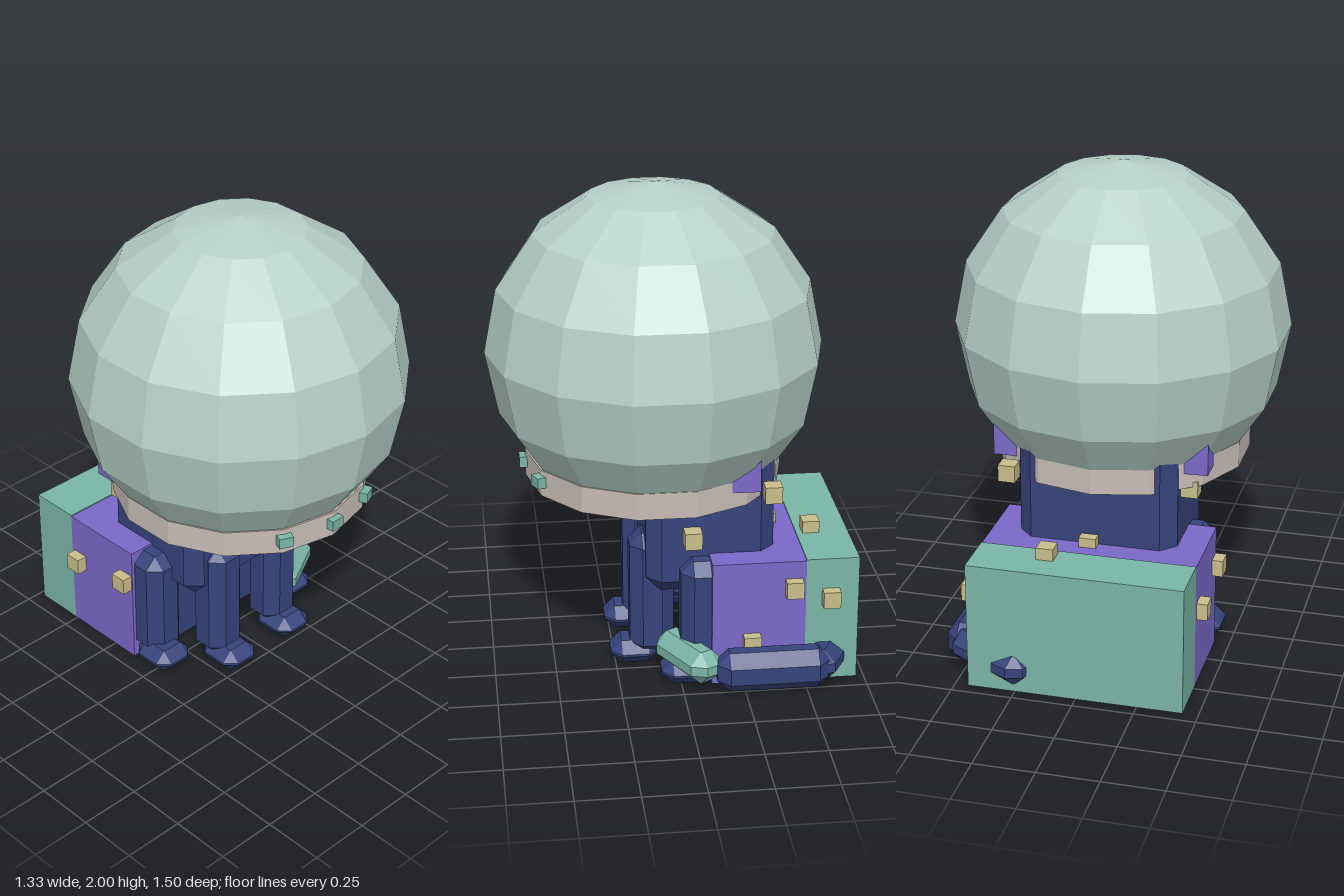
import * as THREE from 'three';
import { ConvexGeometry } from 'three/addons/geometries/ConvexGeometry.js';

const mat = (name, color) => {
  const m = new THREE.MeshStandardMaterial({ color, flatShading: true });
  m.name = name;
  return m;
};

// Box with every edge and corner cut off
function chamferBox(w, h, d, c) {
  const points = [];
  for (const x of [-1, 1]) for (const y of [-1, 1]) for (const z of [-1, 1]) {
    const X = x * w / 2, Y = y * h / 2, Z = z * d / 2;
    points.push(
      new THREE.Vector3(X, Y - y * c, Z - z * c),
      new THREE.Vector3(X - x * c, Y, Z - z * c),
      new THREE.Vector3(X - x * c, Y - y * c, Z));
  }
  return new ConvexGeometry(points);
}

export function createModel() {
  const model = new THREE.Group();
  const pale = mat('paleGreen', 0xb6d0c8);
  const navy = mat('navy', 0x36447c);
  const purple = mat('purple', 0x7b68c8);
  const teal = mat('teal', 0x7ab5a5);
  const stone = mat('warmGrey', 0xc6bcb6);
  const gold = mat('gold', 0xc8bd8a);

  const add = (name, geometry, material, x, y, z, rotY = 0) => {
    const mesh = new THREE.Mesh(geometry, material);
    mesh.name = name;
    mesh.position.set(x, y, z);
    mesh.rotation.y = rotY;
    model.add(mesh);
    return mesh;
  };
  const box = (w, h, d) => new THREE.BoxGeometry(w, h, d);

  // Faceted globe and its collar
  add('globe', new THREE.SphereGeometry(0.683, 14, 8), pale, 0, 1.319, 0.065, Math.PI / 2);
  add('collar', new THREE.CylinderGeometry(0.525, 0.525, 0.11, 14), stone, 0, 0.84, 0.07);
  for (const a of [-0.42, 0, 0.42]) {
    add('collarLight', box(0.06, 0.045, 0.06), teal,
      0.555 * Math.sin(a), 0.85, 0.045 + 0.545 * Math.cos(a), a);
  }

  // Block inside the globe, whose rear corners stick out
  add('neckBlock', box(0.88, 0.25, 0.46), purple, 0, 0.975, -0.08);

  // Body and base
  add('torso', chamferBox(0.65, 0.62, 0.52, 0.06), navy, 0, 0.67, -0.13);
  add('core', box(0.8, 0.5, 0.57), navy, 0, 0.25, -0.385);
  add('baseBlock', box(0.88, 0.53, 0.38), purple, 0, 0.275, -0.31);
  add('rearBlock', box(0.88, 0.535, 0.215), teal, 0, 0.2775, -0.6075);

  // Four front columns with feet
  const inner = chamferBox(0.18, 0.54, 0.18, 0.05);
  const outer = chamferBox(0.18, 0.49, 0.18, 0.05);
  const foot = chamferBox(0.18, 0.1, 0.2, 0.045);
  for (const s of [-1, 1]) {
    add('innerColumn', inner, navy, s * 0.16, 0.315, 0.1);
    add('outerColumn', outer, navy, s * 0.335, 0.285, -0.09);
    add('innerFoot', foot, navy, s * 0.16, 0.055, 0.17);
    add('outerFoot', foot, navy, s * 0.365, 0.055, -0.02);
  }

  // Jointed arm wrapped around the left side
  add('armRoot', chamferBox(0.34, 0.14, 0.15, 0.05), teal, 0.39, 0.12, -0.03, 0.5);
  add('armMiddle', chamferBox(0.15, 0.17, 0.46, 0.05), navy, 0.505, 0.105, -0.36);
  add('armTip', chamferBox(0.4, 0.14, 0.15, 0.05), navy, 0.37, 0.105, -0.615, -0.5);

  // Small studs scattered over the body
  const stud = box(0.07, 0.07, 0.07);
  const studs = [
    [0.36, 0.625, -0.05], [0.36, 0.81, -0.37], [0.45, 0.43, -0.45],
    [0.45, 0.38, -0.6], [0.45, 0.195, -0.28], [0.15, 0.56, -0.56],
    [0.02, 0.545, -0.4], [-0.45, 0.34, -0.45], [-0.45, 0.39, -0.16],
    [-0.36, 0.77, -0.25],
  ];
  for (const p of studs) add('stud', stud, gold, ...p);

  return model;
}
